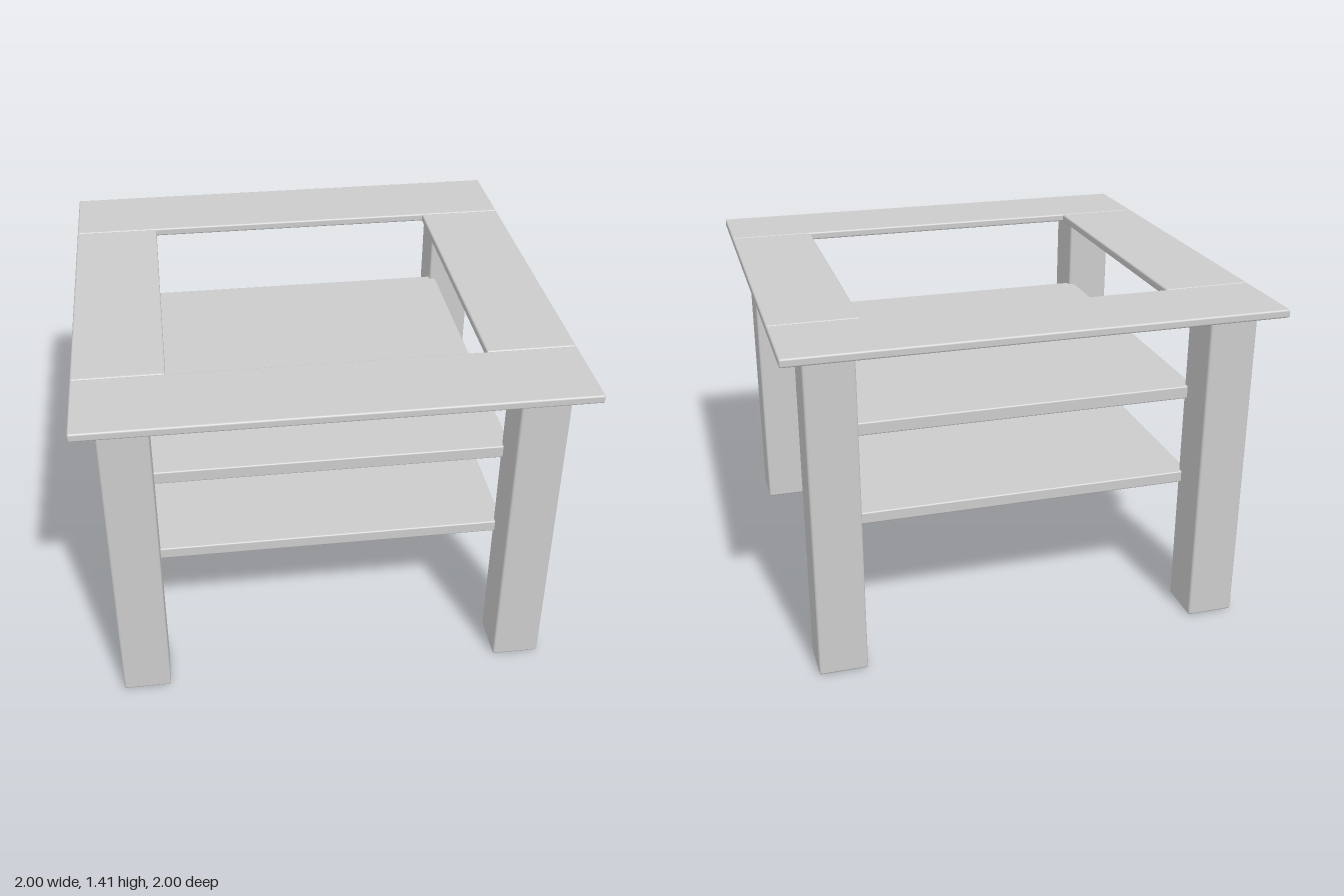
import * as THREE from 'three';
import { RoundedBoxGeometry } from 'three/addons/geometries/RoundedBoxGeometry.js';

const material = new THREE.MeshStandardMaterial({ color: 0xcccccc });

// Softly edged board spanning the given bottom and top heights
function board(name, width, depth, bottom, top, x, z, radius) {
  const geometry = new RoundedBoxGeometry(width, top - bottom, depth, 2, radius);
  const mesh = new THREE.Mesh(geometry, material);
  mesh.name = name;
  mesh.position.set(x, (bottom + top) / 2, z);
  return mesh;
}

export function createModel() {
  const group = new THREE.Group();
  group.name = 'coffeeTable';

  const inner = 0.635; // half-size of the open centre of the top
  const rail = 1 - inner;
  const railCentre = (1 + inner) / 2;

  for (const s of [-1, 1]) {
    const end = s > 0 ? 'front' : 'back';
    const side = s > 0 ? 'left' : 'right';

    // Top frame: full-width boards front and back, shorter boards between
    group.add(board(end + 'TopBoard', 2, rail, 1.375, 1.41, 0, s * railCentre, 0.008));
    group.add(board(side + 'TopBoard', rail, inner * 2, 1.375, 1.41, s * railCentre, 0, 0.008));

    // Square legs
    for (const t of [-1, 1]) {
      const name = end + (t > 0 ? 'Left' : 'Right') + 'Leg';
      group.add(board(name, 0.2, 0.2, 0, 1.375, t * 0.81, s * 0.81, 0.01));
    }
  }

  // Two square shelves let into the inner corners of the legs
  group.add(board('upperShelf', 1.48, 1.48, 0.96, 1.015, 0, 0, 0.006));
  group.add(board('lowerShelf', 1.48, 1.48, 0.57, 0.62, 0, 0, 0.006));

  return group;
}
